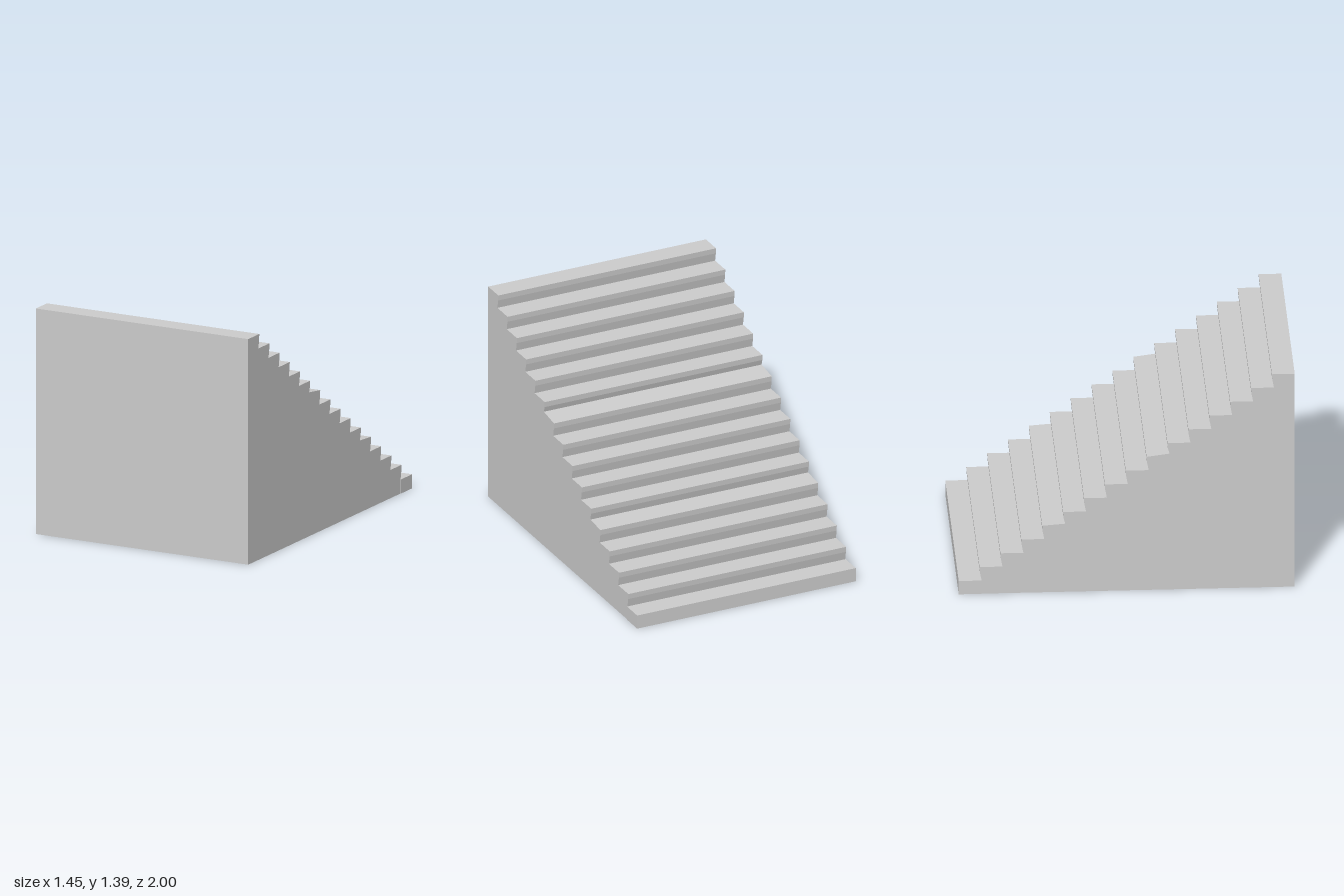
import * as THREE from 'three';

const STEPS = 16, RISE = 1.388 / STEPS, RUN = 0.1243, UNDERCUT = 0.012;
const material = new THREE.MeshStandardMaterial({ color: 0xcccccc, flatShading: true });

// Extrudes a side profile of [z, y] points across x, centred on x = 0
function extrudeAcross(name, points, width) {
  const shape = new THREE.Shape(points.map(([z, y]) => new THREE.Vector2(z, y)));
  const geometry = new THREE.ExtrudeGeometry(shape, { depth: width, bevelEnabled: false });
  geometry.translate(0, 0, -width / 2).rotateY(-Math.PI / 2);
  const mesh = new THREE.Mesh(geometry, material);
  mesh.name = name;
  return mesh;
}

export function createModel() {
  const group = new THREE.Group();
  group.name = 'staircase';

  // Back edge of each tread; two treads are slightly tilted
  const tilt = { 4: 0.01, 9: 0.018 };
  const inner = -1 + RUN + UNDERCUT;

  // Solid flight: each riser leans in beneath a short upright nosing
  const profile = [[1, 0], [1, STEPS * RISE]];
  for (let i = STEPS - 1; i >= 1; i--) {
    const nose = -1 + i * RUN, top = (i + 1) * RISE;
    profile.push([nose, top], [nose + 0.002, top - 0.034]);
    profile.push([nose + UNDERCUT, i * RISE + (tilt[i - 1] ?? 0)]);
  }
  profile.push([inner, 0]);
  group.add(extrudeAcross('stairFlight', profile, 1.444));

  // Lowest step, a touch wider than the flight
  const bottom = [[-1, 0], [inner, 0], [inner, RISE], [-1, RISE]];
  group.add(extrudeAcross('bottomStep', bottom, 1.45));
  return group;
}
